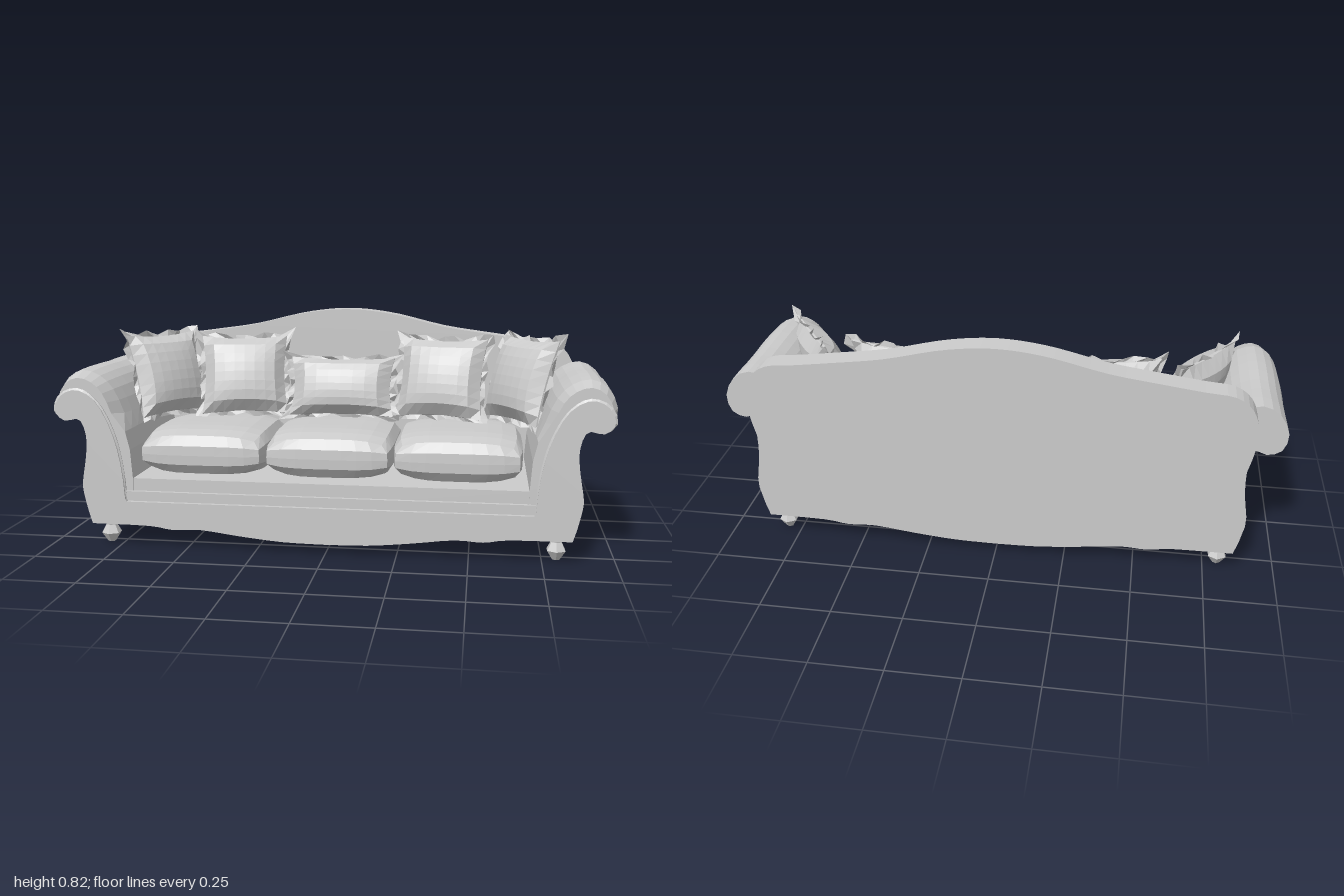
import * as THREE from 'three';

const mat = new THREE.MeshStandardMaterial({ color: 0xcccccc, flatShading: true });
const thinMat = new THREE.MeshStandardMaterial({ color: 0xcccccc, flatShading: true, side: THREE.DoubleSide });

function add(parent, name, geometry, x = 0, y = 0, z = 0, material = mat) {
  const mesh = new THREE.Mesh(geometry, material);
  mesh.name = name;
  mesh.position.set(x, y, z);
  parent.add(mesh);
  return mesh;
}

// Moves every vertex by a rule, then recomputes normals
function warp(geometry, rule) {
  const p = geometry.attributes.position, v = new THREE.Vector3();
  for (let i = 0; i < p.count; i++) {
    rule(v.fromBufferAttribute(p, i));
    p.setXYZ(i, v.x, v.y, v.z);
  }
  geometry.computeVertexNormals();
  return geometry;
}

const smooth = (pts, n) =>
  new THREE.SplineCurve(pts.map(([x, y]) => new THREE.Vector2(x, y))).getPoints(n);
const mirrored = (half) => [...half, ...half.map(([x, y]) => [-x, y]).reverse()];

// Extrudes an outline from z0 to z1
function slab(points, z0, z1, steps = 1) {
  const g = new THREE.ExtrudeGeometry(new THREE.Shape(points), { depth: z1 - z0, steps, bevelEnabled: false });
  return g.translate(0, 0, z0);
}

// Wavy lower edge from centre to side, and the curved side above it
const skirt = smooth([[0, 0.035], [0.15, 0.038], [0.3, 0.052], [0.45, 0.07], [0.55, 0.066], [0.64, 0.078], [0.85, 0.08]], 18)
  .map((p) => [p.x, p.y]);
const side = [[0.865, 0.13], [0.88, 0.2], [0.88, 0.24], [0.865, 0.33], [0.862, 0.38]];

// Plump seat cushion with softened edges
function cushionGeometry(hx, hy, hz) {
  return warp(new THREE.BoxGeometry(2, 2, 2, 8, 4, 8), (v) => {
    const { x, y, z } = v;
    const edge = 0.1 * y * y * y * y;
    v.set(hx * x * (1 - 0.06 * z ** 4 - edge), hy * y * (1 - 0.22 * x ** 4 - 0.22 * z ** 4), hz * z * (1 - 0.06 * x ** 4 - edge));
  });
}

// Throw pillow body: thick in the middle, pinched to its seams
function pillowGeometry(hw, hh, t) {
  return warp(new THREE.BoxGeometry(2, 2, 2, 8, 8, 1), (v) => {
    const { x, y, z } = v;
    const puff = Math.pow(Math.max(0, (1 - x * x) * (1 - y * y)), 0.4);
    v.set(hw * x * (1 - 0.08 * (1 - y * y)), hh * y * (1 - 0.08 * (1 - x * x)), z * (t * puff + 0.004));
  });
}

// Ruffled flange running round a pillow seam
function frillGeometry(hw, hh, seed) {
  const n = 40, pos = [], idx = [];
  for (let i = 0; i < n; i++) {
    const k = Math.floor(i / 10), f = (i % 10) / 5 - 1;
    const [u, w] = [[f, -1], [1, f], [-f, 1], [-1, -f]][k];
    const x = hw * u * (1 - 0.08 * (1 - w * w)), y = hh * w * (1 - 0.08 * (1 - u * u));
    const out = 1.11 + 0.05 * Math.sin(i * 2.3 + seed) + 0.05 * f ** 4;
    pos.push(x * 0.96, y * 0.96, 0, x * out, y * out, 0.018 * Math.sin(i * 1.7 + seed * 2));
    const a = 2 * i, b = 2 * ((i + 1) % n);
    idx.push(a, a + 1, b + 1, a, b + 1, b);
  }
  const g = new THREE.BufferGeometry();
  g.setAttribute('position', new THREE.Float32BufferAttribute(pos, 3));
  g.setIndex(idx);
  g.computeVertexNormals();
  return g;
}

function pillow(parent, name, hw, hh, [x, y, z], yaw, lean, seed) {
  const group = new THREE.Group();
  group.name = name;
  group.position.set(x, y, z);
  group.rotation.set(lean, yaw, 0, 'YXZ');
  add(group, 'pillowBody', pillowGeometry(hw, hh, 0.065));
  add(group, 'pillowFrill', frillGeometry(hw, hh, seed), 0, 0, 0, thinMat);
  parent.add(group);
}

function arm(parent, s, label) {
  const group = new THREE.Group();
  group.name = label + 'Arm';
  parent.add(group);
  const shape = (pts, n) => smooth(pts, n).map((p) => new THREE.Vector2(p.x * s, p.y));

  // Upright panel with a scrolled top, flush with the front
  const panel = shape([[0.72, 0.1], [0.735, 0.28], [0.765, 0.41], [0.82, 0.52], [0.89, 0.565], [0.95, 0.545],
    [0.975, 0.49], [0.94, 0.455], [0.885, 0.46], [0.862, 0.4], [0.865, 0.33], [0.88, 0.24], [0.88, 0.2], [0.865, 0.13], [0.85, 0.08]], 36);
  add(group, 'armPanel', slab(panel, -0.25, 0.335));

  // Padded roll, rounded off toward the front
  const roll = shape([[0.7, 0.17], [0.71, 0.35], [0.745, 0.47], [0.785, 0.56], [0.835, 0.61], [0.9, 0.63],
    [0.96, 0.6], [0.995, 0.53], [0.98, 0.465], [0.93, 0.445], [0.88, 0.46], [0.855, 0.4], [0.85, 0.17]], 24);
  add(group, 'armRoll', warp(slab(roll, -0.25, 0.31, 8), (v) => {
    const t = Math.max(0, (v.z - 0.2) / 0.11);
    const k = 1 - 0.22 * t * t + 0.012 * Math.sin(v.z * 22);
    if (v.y > 0.44) {
      v.x = s * 0.885 + (v.x - s * 0.885) * k;
      v.y = 0.52 + (v.y - 0.52) * k;
    }
  }));

  // Raised trim following the front scroll
  const trim = [[0.735, 0.18], [0.745, 0.3], [0.775, 0.42], [0.83, 0.52], [0.89, 0.56], [0.95, 0.54],
    [0.97, 0.49], [0.93, 0.465], [0.91, 0.5]].map(([x, y]) => new THREE.Vector3(x * s, y, 0.322));
  add(group, 'armScrollTrim', new THREE.TubeGeometry(new THREE.CatmullRomCurve3(trim), 28, 0.013, 5), 0, 0, 0, thinMat);
}

export function createModel() {
  const sofa = new THREE.Group();
  sofa.name = 'sofa';

  // Base with wavy skirt
  const base = mirrored([...skirt, ...side.slice(0, 2), [0.87, 0.21], [0.74, 0.2], [0.72, 0.165]]);
  const loop = (pts) => pts.filter((p, i) => i === 0 || Math.hypot(p[0] - pts[i - 1][0], p[1] - pts[i - 1][1]) > 1e-5)
    .map(([x, y]) => new THREE.Vector2(x, y));
  add(sofa, 'base', slab(loop(base).slice(0, -1), -0.3, 0.335));

  // Humped back panel
  const top = smooth([[0.862, 0.42], [0.88, 0.5], [0.885, 0.58], [0.86, 0.655], [0.8, 0.7], [0.7, 0.712], [0.55, 0.732],
    [0.38, 0.757], [0.2, 0.8], [0.08, 0.818], [0, 0.822]], 30).map((p) => [p.x, p.y]);
  add(sofa, 'backPanel', slab(loop(mirrored([...skirt, ...side, ...top])).slice(0, -1), -0.335, -0.25));

  // Stepped seat deck
  add(sofa, 'deckLip', new THREE.BoxGeometry(1.46, 0.1, 0.57), 0, 0.15, 0.035);
  add(sofa, 'seatDeck', new THREE.BoxGeometry(1.42, 0.145, 0.555), 0, 0.1725, 0.0275);

  // Seat cushions
  for (const i of [-1, 0, 1])
    add(sofa, 'seatCushion', cushionGeometry(0.228, 0.088, 0.27), i * 0.455, 0.335, 0.045);

  // Arms, feet and paired pillows
  for (const [s, label] of [[1, 'left'], [-1, 'right']]) {
    arm(sofa, s, label);
    pillow(sofa, label + 'InnerPillow', 0.165, 0.155, [s * 0.38, 0.575, -0.1], -s * 0.2, -0.35, 1 + s);
    pillow(sofa, label + 'OuterPillow', 0.16, 0.16, [s * 0.675, 0.58, -0.06], -s * 0.95, -0.3, 4 + s);
    for (const z of [0.28, -0.28]) {
      const profile = [[0, 0], [0.014, 0.002], [0.036, 0.035], [0.02, 0.065], [0.022, 0.085]];
      add(sofa, 'foot', new THREE.LatheGeometry(profile.map(([x, y]) => new THREE.Vector2(x, y)), 6), s * 0.8, 0, z);
    }
  }
  pillow(sofa, 'centrePillow', 0.2, 0.115, [0, 0.535, -0.1], 0, -0.35, 7);
  return sofa;
}
